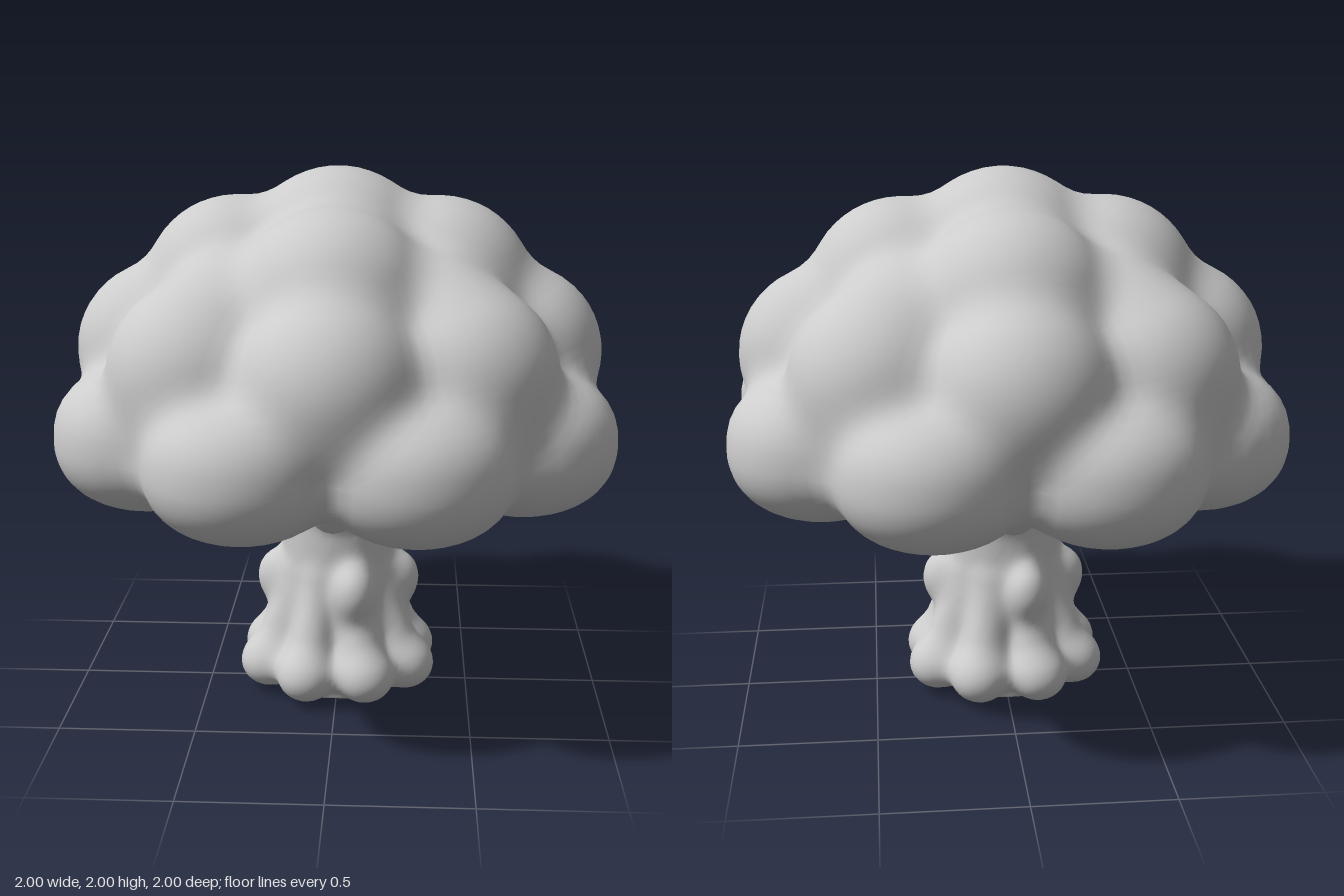
import * as THREE from 'three';
import { mergeVertices } from 'three/addons/utils/BufferGeometryUtils.js';

const grey = new THREE.MeshStandardMaterial({ color: 0xcccccc });
grey.name = 'pale grey';

const V = (x, y, z) => new THREE.Vector3(x, y, z);

// Smooth union of two distances
function blend(a, b, k) {
  const h = Math.max(k - Math.abs(a - b), 0) / k;
  return Math.min(a, b) - h * h * k / 4;
}

// Distance to an ellipsoid, horizontal radius r, vertical radius ry; e over 2 squares its profile
const blob = (x, y, z, r, ry = r, e = 2) => (p) => {
  const h = Math.hypot(p.x - x, p.z - z) / r, v = Math.abs(p.y - y) / ry;
  return (Math.pow(Math.pow(h, e) + Math.pow(v, e), 1 / e) - 1) * Math.min(r, ry);
};

// Distance to a rounded limb from a to b, radius ra to rb
const limb = (a, b, ra, rb) => {
  const ab = b.clone().sub(a), len2 = ab.lengthSq(), d = V(0, 0, 0);
  return (p) => {
    d.subVectors(p, a);
    const t = THREE.MathUtils.clamp(d.dot(ab) / len2, 0, 1);
    return d.addScaledVector(ab, -t).length() - THREE.MathUtils.lerp(ra, rb, t);
  };
};

// Walk from start along dir until the blended parts are met
function cast(parts, k, start, dir, limit) {
  const p = start.clone();
  let travelled = 0;
  for (let i = 0; i < 90 && travelled < limit; i++) {
    let d = 9;
    for (const part of parts) d = blend(d, part(p), k);
    if (d < 0.0006) break;
    const step = Math.min(d * 0.9, limit - travelled);
    travelled += step;
    p.addScaledVector(dir, step);
  }
  return p;
}

// Closed skin from rings, listed from bottom to top
function skin(rings, columns, point) {
  const pos = [], index = [];
  for (let j = 0; j <= rings; j++) {
    for (let i = 0; i < columns; i++) {
      const p = point(j, (i / columns) * Math.PI * 2);
      pos.push(p.x, p.y, p.z);
      if (j === rings) continue;
      const a = j * columns + i, c = j * columns + (i + 1) % columns;
      index.push(a, a + columns, c, c, a + columns, c + columns);
    }
  }
  let g = new THREE.BufferGeometry();
  g.setAttribute('position', new THREE.Float32BufferAttribute(pos, 3));
  g.setIndex(index);
  g = mergeVertices(g, 1e-5);
  g.computeVertexNormals();
  return g;
}

// Leaf crown: tiers of rounded clumps fused into one skin
function crownGeometry() {
  const parts = [blob(0, 1.25, 0, 0.7, 0.3), blob(0, 1.64, 0, 0.36)];
  for (const s of [-1, 1]) {
    for (const t of [-1, 1]) {
      parts.push(blob(0.66 * s, 1.075, 0.31 * t, 0.34, 0.26, 2.25));
      parts.push(blob(0.29 * s, 1.075, 0.66 * t, 0.34, 0.26, 2.25));
      parts.push(blob(0.45 * s, 1.33, 0.45 * t, 0.325));
      // filler that rounds the shoulder between the tiers
      parts.push(blob(0.34 * s, 1.47, 0.34 * t, 0.27));
    }
    parts.push(blob(0.65 * s, 1.33, 0, 0.32), blob(0, 1.33, 0.64 * s, 0.32));
    parts.push(blob(0.37 * s, 1.55, 0, 0.345), blob(0, 1.55, 0.37 * s, 0.345));
  }
  const k = 0.08, mid = 1.075, half = 36, up = V(0, 1, 0);
  const radial = (theta, phi) => {
    const out = V(Math.cos(theta) * Math.cos(phi), Math.sin(phi), Math.sin(theta) * Math.cos(phi));
    const start = V(0, mid, 0).addScaledVector(out, 1.4);
    return cast(parts, k, start, out.negate(), 1.4);
  };
  return skin(half * 2, 128, (j, theta) => {
    const phi = ((j / half) - 1) * Math.PI / 2;
    if (j >= half) return radial(theta, phi);
    // underside is found from straight below
    const rim = radial(theta, 0), s = j === 0 ? 0 : Math.cos(phi);
    return cast(parts, k, V(rim.x * s, 0.5, rim.z * s), up, mid - 0.5);
  });
}

// Trunk with swollen roots, knots and flared branch collars
function trunkGeometry() {
  const parts = [];
  const root = (x, z) => {
    parts.push(blob(x, 0.115, z, 0.108, 0.095));
    parts.push(limb(V(x * 0.9, 0.15, z * 0.9), V(x * 0.6, 0.46, z * 0.6), 0.09, 0.055));
  };
  for (const s of [-1, 1]) {
    parts.push(limb(V(0.025 * s, 0, 0), V(0.025 * s, 1.1, 0), 0.19, 0.185));
    for (const t of [-1, 1]) {
      root(0.11 * s, 0.24 * t);
      root(0.262 * s, 0.1 * t);
    }
    parts.push(blob(0.235 * s, 0.43, 0, 0.075, 0.1));
    parts.push(blob(0.07 * s, 0.44, 0.215 * s, 0.075, 0.1));
    parts.push(limb(V(0.1 * s, 0.74, 0), V(0.24 * s, 0.83, 0), 0.12, 0.1));
    parts.push(limb(V(0, 0.79, 0.1 * s), V(0, 0.83, 0.24 * s), 0.115, 0.1));
  }
  const rings = 64;
  return skin(rings, 112, (j, theta) => {
    if (j === 0) return V(0, 0.005, 0);
    const y = 0.005 + 1.045 * Math.pow((j - 1) / (rings - 1), 1.2);
    const c = Math.cos(theta), s = Math.sin(theta);
    return cast(parts, 0.06, V(c * 0.7, y, s * 0.7), V(-c, 0, -s), 0.68);
  });
}

// Tapered branch sweeping out and up along +x, through pairs of reach and height
function branchGeometry(path, radius) {
  const curve = new THREE.CatmullRomCurve3(path.map(([x, y]) => V(x, y, 0)));
  const steps = 20, sides = 16;
  const g = new THREE.TubeGeometry(curve, steps, radius, sides);
  const pos = g.attributes.position, p = V(0, 0, 0);
  for (let i = 0; i < pos.count; i++) {
    const t = Math.floor(i / (sides + 1)) / steps;
    p.fromBufferAttribute(pos, i).lerp(curve.getPointAt(t), 0.25 * t);
    pos.setXYZ(i, p.x, p.y, p.z);
  }
  g.computeVertexNormals();
  return g;
}

export function createModel() {
  const tree = new THREE.Group();
  tree.name = 'tree';
  const add = (name, geometry) => {
    const mesh = new THREE.Mesh(geometry, grey);
    mesh.name = name;
    tree.add(mesh);
    return mesh;
  };
  add('crown', crownGeometry());
  add('trunk', trunkGeometry());
  const sideBranch = branchGeometry([[0.05, 0.72], [0.2, 0.79], [0.4, 0.865], [0.6, 0.99]], 0.105);
  const endBranch = branchGeometry([[0.05, 0.78], [0.22, 0.815], [0.42, 0.84], [0.6, 0.96]], 0.105);
  ['leftBranch', 'backBranch', 'rightBranch', 'frontBranch'].forEach((name, i) => {
    add(name, i % 2 ? endBranch : sideBranch).rotation.y = i * Math.PI / 2;
  });
  return tree;
}
